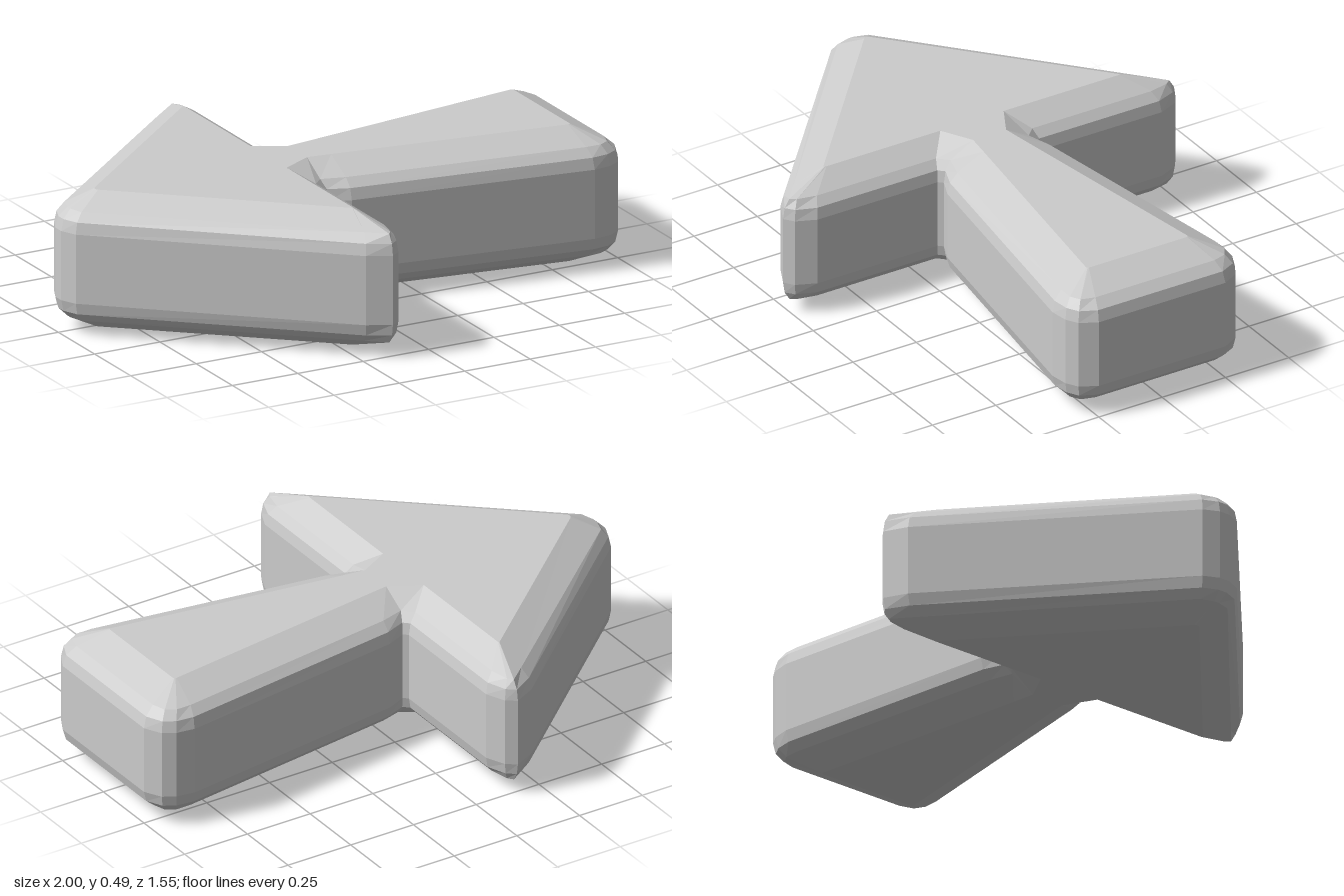
import * as THREE from 'three';

// Half outline of the arrow (z > 0), tip to tail:
// [wall x, z, bevel x, z, flat-face x, z]
const HALF = [
  [-1.0, 0.02, -0.96, 0.01, -0.86, 0.004],
  [-0.975, 0.075, -0.945, 0.06, -0.855, 0.012],
  [-0.23, 0.735, -0.215, 0.695, -0.2, 0.585],
  [-0.15, 0.775, -0.15, 0.75, -0.198, 0.585],
  [-0.115, 0.75, -0.135, 0.73, -0.196, 0.582],
  [-0.085, 0.68, -0.12, 0.66, -0.196, 0.575],
  [-0.085, 0.205, -0.12, 0.19, -0.196, 0.125],
  [-0.07, 0.19, -0.085, 0.155, -0.085, 0.065],
  [0.0, 0.22, 0.0, 0.18, 0.0, 0.077],
  [0.86, 0.345, 0.85, 0.305, 0.838, 0.2],
  [0.925, 0.335, 0.905, 0.305, 0.842, 0.2],
  [0.968, 0.31, 0.94, 0.285, 0.846, 0.198],
  [1.0, 0.25, 0.955, 0.235, 0.848, 0.194],
];
const HEIGHT = 0.485;

// Full closed outline, mirrored across z
const OUTLINE = [
  ...HALF,
  ...HALF.map(([a, b, c, d, e, f]) => [a, -b, c, -d, e, -f]).reverse(),
];

// Ring of points at height y; t runs 0 (wall) - 1 (bevel) - 2 (flat face)
function ring(t, y) {
  const k = Math.min(Math.floor(t), 1);
  const f = t - k;
  return OUTLINE.map((p) => new THREE.Vector3(
    THREE.MathUtils.lerp(p[2 * k], p[2 * k + 2], f),
    y,
    THREE.MathUtils.lerp(p[2 * k + 1], p[2 * k + 3], f),
  ));
}

function arrowGeometry() {
  // Rounded bevel: depth below the face at each inset step
  const bevel = [[2, 0], [1, 0.05], [0.25, 0.08], [0, 0.12]];
  const rings = [
    ...bevel.map(([t, d]) => ring(t, d)),
    ...bevel.slice().reverse().map(([t, d]) => ring(t, HEIGHT - d)),
  ];
  const pos = [];
  const tri = (...pts) => pts.forEach((p) => pos.push(p.x, p.y, p.z));

  // Walls and bevels between neighbouring rings
  const n = OUTLINE.length;
  for (let r = 0; r < rings.length - 1; r++) {
    const lo = rings[r];
    const hi = rings[r + 1];
    for (let i = 0; i < n; i++) {
      const j = (i + 1) % n;
      tri(lo[i], lo[j], hi[j]);
      tri(lo[i], hi[j], hi[i]);
    }
  }

  // Flat top and underside
  const bottom = rings[0];
  const top = rings[rings.length - 1];
  const contour = top.map((p) => new THREE.Vector2(p.x, -p.z));
  for (const [a, b, c] of THREE.ShapeUtils.triangulateShape(contour, [])) {
    tri(top[a], top[b], top[c]);
    tri(bottom[a], bottom[c], bottom[b]);
  }

  const geo = new THREE.BufferGeometry();
  geo.setAttribute('position', new THREE.Float32BufferAttribute(pos, 3));
  geo.computeVertexNormals();
  return geo;
}

export function createModel() {
  const group = new THREE.Group();
  group.name = 'arrow';
  const body = new THREE.Mesh(
    arrowGeometry(),
    new THREE.MeshStandardMaterial({ color: 0xcccccc, flatShading: true }),
  );
  body.name = 'arrowBody';
  group.add(body);
  return group;
}
